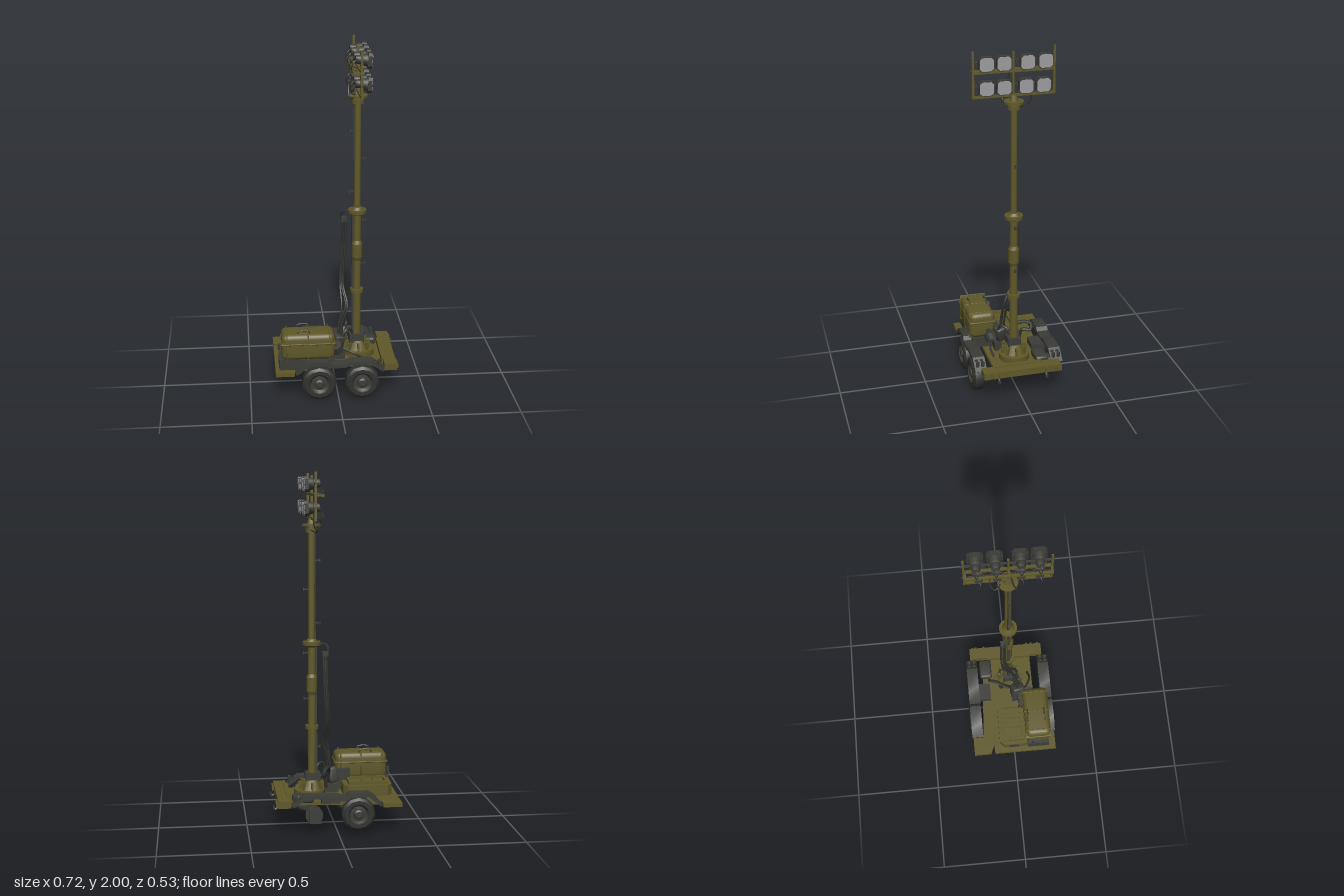
import * as THREE from 'three';
import { toCreasedNormals } from 'three/addons/utils/BufferGeometryUtils.js';
import { RoundedBoxGeometry } from 'three/addons/geometries/RoundedBoxGeometry.js';

const paint = (name, color) => Object.assign(new THREE.MeshStandardMaterial({ color }), { name });

export function createModel() {
  const olive = paint('olive paint', 0x5f5829);
  const dark = paint('dark grey metal', 0x3c3d38);
  const rubber = paint('black rubber', 0x31322e);
  const glass = paint('lamp glass', 0xa2a2a4);
  const model = new THREE.Group();
  model.name = 'lightTowerTrailer';

  const add = (name, geo, mat, x = 0, y = 0, z = 0, parent = model) => {
    const mesh = new THREE.Mesh(toCreasedNormals(geo, 0.6), mat);
    mesh.name = name;
    mesh.position.set(x, y, z);
    parent.add(mesh);
    return mesh;
  };
  // box given by its min and max on each axis
  const box = (name, mat, x0, x1, y0, y1, z0, z1, parent) =>
    add(name, new THREE.BoxGeometry(x1 - x0, y1 - y0, z1 - z0), mat,
      (x0 + x1) / 2, (y0 + y1) / 2, (z0 + z1) / 2, parent);
  const rod = (name, mat, x, z, y0, y1, r, r2 = r, sides = 12) =>
    add(name, new THREE.CylinderGeometry(r2, r, y1 - y0, sides), mat, x, (y0 + y1) / 2, z);
  const tube = (name, mat, r, pts, parent) =>
    add(name, new THREE.TubeGeometry(
      new THREE.CatmullRomCurve3(pts.map(p => new THREE.Vector3(...p))), pts.length * 6, r, 6),
      mat, 0, 0, 0, parent);
  const extrude = (pts, depth) => new THREE.ExtrudeGeometry(
    new THREE.Shape(pts.map(p => new THREE.Vector2(...p))), { depth, bevelEnabled: false });

  // deck plate, outlined as [x, z]
  const deckOutline = [[-.357, -.125], [-.304, -.128], [-.357, -.15], [-.357, -.252], [-.249, -.252],
    [-.249, -.19], [.3, -.147], [.3, .147], [-.05, .147], [-.249, .2], [-.249, .252], [-.357, .252]];
  const deck = extrude(deckOutline.map(([x, z]) => [x, -z]), .022);
  deck.rotateX(-Math.PI / 2);
  add('deck', deck, olive, 0, .15, 0);
  box('frontBeam', olive, .264, .335, .155, .195, -.23, .225);
  box('deckStep', olive, .255, .28, .17, .2, -.125, .147);

  // tow hooks and shackles on the front beam
  for (const z of [-.21, -.19, -.14, .135, .165, .205])
    box('bracket', olive, .333, .345, .16, .185, z - .006, z + .006);
  for (const z of [-.14, .138])
    tube('towHook', dark, .007, [[.32, .165, z], [.335, .135, z], [.35, .13, z], [.355, .15, z]]);

  // fenders, side outline as [x, y]
  const fenderOutline = [[-.245, .165], [-.2, .215], [-.17, .235], [-.06, .235], [-.04, .217], [.04, .217],
    [.07, .23], [.19, .228], [.262, .172], [.25, .163], [.185, .21], [.07, .21], [.04, .195], [-.04, .195],
    [-.07, .213], [-.165, .213], [-.235, .158]];
  for (const z of [.19, -.258]) {
    add('fender', extrude(fenderOutline, .068), dark, 0, 0, z);
    for (const x of [.205, .235])
      for (const dz of [.02, .05]) rod('fenderBolt', dark, x, z + dz, .19, .219, .01, .01, 8);
  }

  // wheels, built with the axle along z and the outside at +z
  const wheel = (x, y, z, side, r) => {
    const g = new THREE.Group();
    g.name = 'wheel';
    const lathe = pts => new THREE.LatheGeometry(pts.map(p => new THREE.Vector2(...p)), 12).rotateX(Math.PI / 2);
    add('tyre', lathe([[.05, -.032], [r * .85, -.034], [r, -.022], [r, .022], [r * .85, .034],
      [r * .62, .034], [r * .56, .024]]), rubber, 0, 0, 0, g);
    add('innerRim', lathe([[0, -.026], [.051, -.031]]), dark, 0, 0, 0, g);
    add('rim', lathe([[r * .6, .03], [.045, .014], [.03, .016], [.026, .03], [.018, .036], [0, .036]]),
      dark, 0, 0, 0, g);
    for (let i = 0; i < 6; i++)
      add('wheelNut', new THREE.CylinderGeometry(.004, .004, .008, 6).rotateX(Math.PI / 2), dark,
        .037 * Math.cos(i * Math.PI / 3), .037 * Math.sin(i * Math.PI / 3), .018, g);
    g.position.set(x, y, z);
    if (side < 0) g.rotation.y = Math.PI;
    model.add(g);
  };
  wheel(-.11, .098, .227, 1, .098);
  wheel(.135, .098, .227, 1, .098);
  wheel(-.11, .116, -.23, -1, .094);
  // bare brake hub where the fourth wheel is absent
  add('brakeHub', new THREE.CylinderGeometry(.05, .05, .03, 10).rotateX(Math.PI / 2), dark, .135, .11, -.215);
  box('brakeCaliper', dark, .1, .165, .07, .15, -.255, -.235);

  // generator tank with strap bands, caps and handles
  box('generatorBase', dark, -.335, -.02, .172, .235, .08, .21);
  add('generatorTank', new RoundedBoxGeometry(.3, .155, .15, 3, .03), olive, -.17, .308, .145);
  add('tankSeam', new RoundedBoxGeometry(.31, .01, .157, 2, .004), olive, -.17, .33, .145);
  for (const x of [-.29, -.17, -.05])
    add('tankBand', new RoundedBoxGeometry(.006, .159, .155, 2, .002), olive, x, .308, .145);
  for (const z of [.09, .19])
    tube('tankHandle', dark, .004, [[-.23, .382, z], [-.225, .398, z], [-.165, .398, z], [-.16, .382, z]]);
  for (const x of [-.332, -.012]) box('tankLatch', dark, x - .008, x + .008, .26, .29, .105, .125);
  box('controlBox', dark, -.1, -.02, .2, .3, .045, .08);

  // low equipment locker with an inset lid
  add('locker', extrude([[-.327, -.06], [-.3, -.09], [-.075, -.09], [-.05, -.06], [-.05, .075], [-.327, .075]]
    .map(([x, z]) => [x, -z]), .062).rotateX(-Math.PI / 2), olive, 0, .172, 0);
  for (const [x0, x1, z0, z1] of [[-.305, -.29, -.07, .06], [-.095, -.08, -.07, .06],
    [-.29, -.095, -.07, -.052], [-.29, -.095, .045, .06]])
    box('lockerRim', olive, x0, x1, .23, .252, z0, z1);
  for (const x of [-.255, -.192, -.129]) box('lidPanel', olive, x - .028, x + .028, .23, .242, -.045, .04);
  box('lockerVent', dark, -.331, -.326, .185, .222, -.03, .025);

  // winch motor and deck boxes around the mast
  const winch = add('winchMotor', new RoundedBoxGeometry(.06, .09, .075, 2, .012), dark, .01, .27, .045);
  winch.rotation.set(.2, .3, -.25);
  const reel = add('cableReel', new THREE.CylinderGeometry(.035, .035, .05, 10), dark, .0, .25, .105);
  reel.rotation.set(.4, 0, .3);
  box('winchFoot', dark, -.03, .05, .172, .225, .01, .09);
  box('deckCase', dark, -.013, .09, .165, .205, -.195, -.12);
  add('toolCase', new RoundedBoxGeometry(.12, .045, .075, 2, .015), dark, .19, .187, -.14);
  box('valveBlock', dark, .08, .165, .2, .3, -.035, .04);

  // mast foot and telescoping sections: [y0, y1, bottom radius, top radius]
  const mx = .125;
  rod('turntable', olive, .14, 0, .17, .205, .088, .088, 20);
  rod('mastFoot', olive, .13, 0, .205, .26, .07, .045, 16);
  for (const a of [0, 1, 2, 3]) {
    const rib = add('footRib', new THREE.BoxGeometry(.15, .05, .012), olive, .13, .225, 0);
    rib.rotation.y = a * Math.PI / 4;
  }
  const sections = [[.25, .56, .024, .024], [.555, .575, .038, .038], [.57, .76, .022, .022],
    [.75, .77, .024, .031], [.77, .85, .031, .031], [.85, .87, .031, .022], [.87, 1.03, .022, .022],
    [1.025, 1.035, .03, .05], [1.035, 1.055, .052, .052], [1.055, 1.07, .035, .025], [1.06, 1.67, .019, .019],
    [1.665, 1.69, .035, .035], [1.69, 1.71, .02, .02], [1.7, 1.712, .055, .055], [1.71, 1.745, .025, .016]];
  for (const [y0, y1, r, r2] of sections) rod('mastSection', olive, mx, 0, y0, y1, r, r2, 14);
  box('mastRail', dark, mx - .03, mx - .021, .3, 1.02, -.008, .008);
  box('upperRail', dark, mx - .023, mx - .018, 1.07, 1.66, -.006, .006);
  for (const [y, d] of [[.45, -1], [.73, 1], [.99, 1], [1.16, -1], [1.35, 1], [1.51, -1]]) {
    box('mastPeg', dark, mx + d * .03 - .016, mx + d * .03 + .016, y - .004, y + .004, -.004, .004);
    box('pegHead', dark, mx + d * .046 - .003, mx + d * .046 + .003, y - .009, y + .009, -.008, .008);
  }

  // lamp frame
  for (const [z, top] of [[.222, 1.99], [.003, 1.98], [-.222, 2]])
    box('framePost', olive, mx - .009, mx + .005, 1.737, top, z - .006, z + .006);
  for (const y of [1.743, 1.875]) box('frameBar', olive, mx - .009, mx + .005, y - .007, y + .007, -.228, .228);
  box('rearBar', olive, .077, .09, 1.865, 1.88, -.22, .225);
  for (const z of [-.216, .003, .22]) box('rearBarArm', olive, .08, mx, 1.867, 1.878, z - .006, z + .006);
  for (const y of [1.805, 1.935]) box('lampRail', dark, mx - .004, mx + .004, y - .004, y + .004, -.235, .235);

  // floodlights, built facing +z and turned to +x
  const pad = (s, c) => [[-s + c, -s], [s - c, -s], [s, -s + c], [s, s - c], [s - c, s], [-s + c, s], [-s, s - c], [-s, -s + c]];
  const lamp = (y, z) => {
    const g = new THREE.Group();
    g.name = 'floodlight';
    const bowl = [[0, -.045], [.02, -.045], [.024, -.03], [.024, -.012], [.03, -.008], [.037, .025]];
    add('lampBowl', new THREE.LatheGeometry(bowl.map(p => new THREE.Vector2(...p)).reverse(), 12)
      .rotateX(Math.PI / 2).scale(1, 1, 1), dark, 0, 0, 0, g).material.side = THREE.DoubleSide;
    add('lampRim', extrude(pad(.041, .014), .022), dark, 0, 0, .02, g);
    add('lampGlass', extrude(pad(.037, .013), .004), glass, 0, 0, .04, g);
    g.position.set(.138, y, z);
    g.rotation.order = 'YXZ';
    g.rotation.set(.08, Math.PI / 2, 0);
    model.add(g);
    tube('lampWire', rubber, .003, [[.1, y, z], [.08, y - .02, z + .01], [.075, y - .05, z], [.1, y - .06, z - .01]]);
  };
  for (const z of [.16, .065, -.062, -.16]) lamp(1.935, z);
  for (const z of [.16, .065, -.055, -.15]) lamp(1.805, z);

  // cables
  tube('topCable', rubber, .004, [[.13, 1.68, -.03], [.1, 1.67, -.07], [.12, 1.71, -.095], [.12, 1.78, -.09]]);
  tube('lampLead', rubber, .004, [[.12, 1.7, .03], [.075, 1.71, .05], [.07, 1.76, .03], [.085, 1.87, .01]]);
  tube('cableArm', rubber, .005, [[.1, 1.045, 0], [.05, 1.04, -.01], [.035, 1.02, -.025], [.045, .98, -.03]]);
  const drop = [[.045, .99, -.03], [.04, .8, -.035], [.03, .6, -.02], [.035, .48, .03], [.02, .38, .04], [.01, .3, .045]];
  [[0, 0], [.016, .01], [.008, -.014]].forEach(([dx, dz], i) =>
    tube('mastCable', rubber, .0065, drop.map(([x, y, z], k) => [x + dx * (1 + (k === 3 ? i : 0)), y, z + dz])));
  box('cableClamp', dark, .035, .07, .975, 1, -.05, -.015);
  tube('hoseLoop', rubber, .01, [[.04, .24, .01], [.03, .31, -.02], [.04, .34, -.07], [.065, .335, -.12],
    [.075, .3, -.115], [.06, .3, -.07], [.05, .22, -.05]]);
  tube('baseHose', rubber, .007, [[.02, .27, .07], [.06, .34, .06], [.09, .33, .03], [.1, .27, .02]]);
  tube('sideHose', rubber, .007, [[.0, .25, .08], [.05, .24, .11], [.1, .22, .13], [.15, .19, .12]]);
  return model;
}
